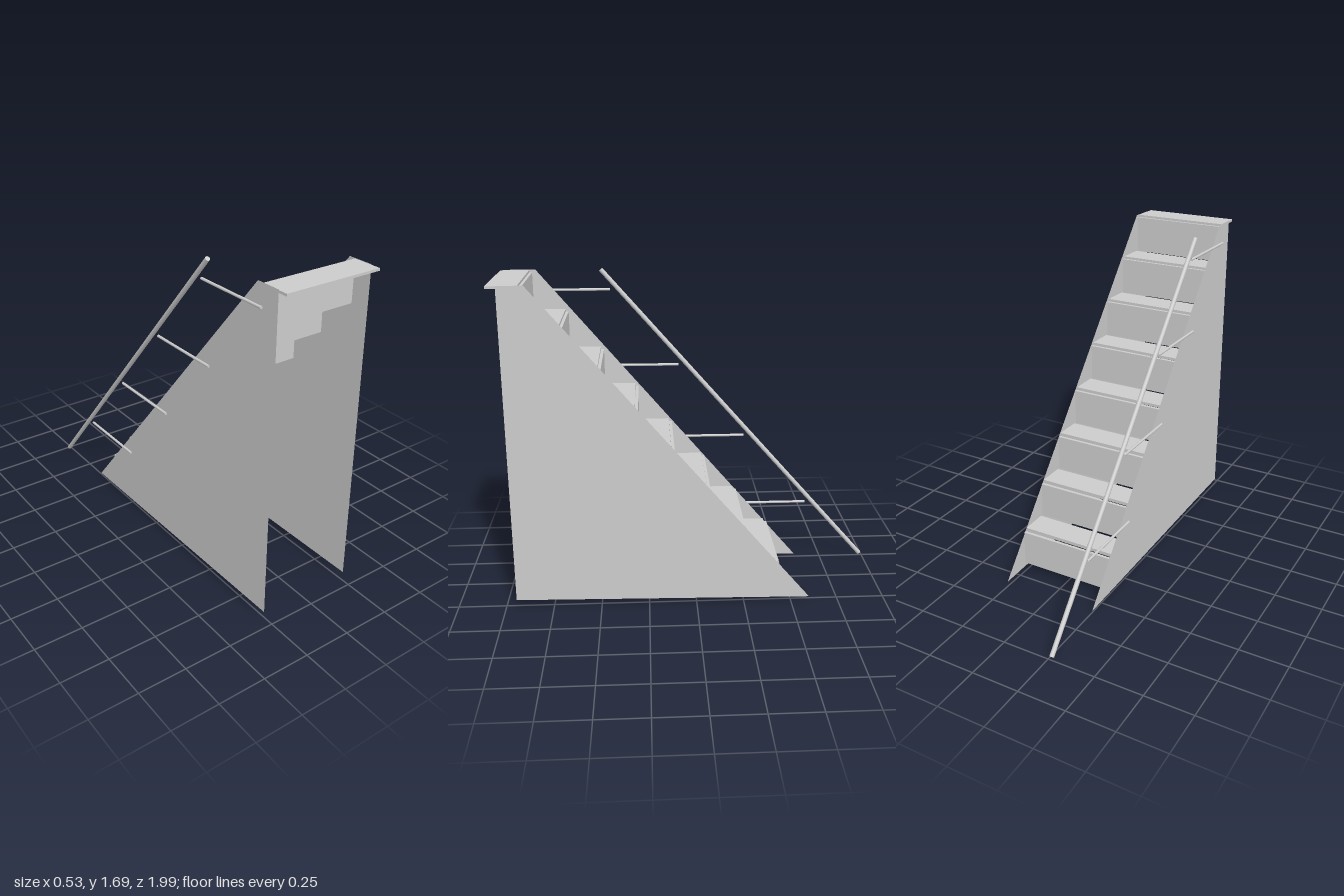
import * as THREE from 'three';

export function createModel() {
  const group = new THREE.Group();
  const grey = new THREE.MeshStandardMaterial({ color: 0xcccccc, side: THREE.DoubleSide });
  grey.name = 'light grey';

  const add = (name, geometry) => {
    const mesh = new THREE.Mesh(geometry, grey);
    mesh.name = name;
    group.add(mesh);
    return mesh;
  };

  const left = 0.261, right = -0.255;
  const width = left - right, middle = (left + right) / 2;

  // Box given by its z and y limits, spanning between the side panels
  const slab = (name, z0, z1, y0, y1) =>
    add(name, new THREE.BoxGeometry(width, y1 - y0, z1 - z0))
      .position.set(middle, (y0 + y1) / 2, (z0 + z1) / 2);

  // Round bar between two points
  const bar = (name, a, b, radius) => {
    const dir = b.clone().sub(a);
    const mesh = add(name, new THREE.CylinderGeometry(radius, radius, dir.length(), 16));
    mesh.position.copy(a).add(b).multiplyScalar(0.5);
    mesh.quaternion.setFromUnitVectors(new THREE.Vector3(0, 1, 0), dir.normalize());
  };

  // Thin side panels, outlined in (-z, y)
  const outline = new THREE.Shape([
    [-0.946, 0.04], [0.6, 0.017], [-0.815, 1.688], [-0.946, 1.688],
  ].map(([u, y]) => new THREE.Vector2(u, y)));
  const panel = new THREE.ShapeGeometry(outline).rotateY(Math.PI / 2);
  add('leftSidePanel', panel).position.x = left;
  add('rightSidePanel', panel).position.x = right;

  // Eight steps: a riser with a tread set just behind and above it
  for (let i = 0; i < 8; i++) {
    const riserZ = -0.432 + 0.1806 * i, riserTop = 0.229 + 0.2063 * i;
    slab('riser', riserZ, riserZ + 0.016, 0.04 + 0.2053 * i, riserTop);
    slab('tread', -0.411 + 0.1796 * i, -0.268 + 0.1805 * i, riserTop, 0.247 + 0.2055 * i);
  }

  // Handrail on one side, held by four level brackets
  const railX = -0.262;
  bar('handrail', new THREE.Vector3(railX, 0.01, -0.988), new THREE.Vector3(railX, 1.685, 0.476), 0.012);
  for (let i = 0; i < 4; i++) {
    const y = 0.345 + 0.4117 * i, z = -0.652 + 0.361 * i;
    bar('railBracket', new THREE.Vector3(railX, y, z), new THREE.Vector3(railX, y, z + 0.42), 0.007);
  }
  return group;
}
